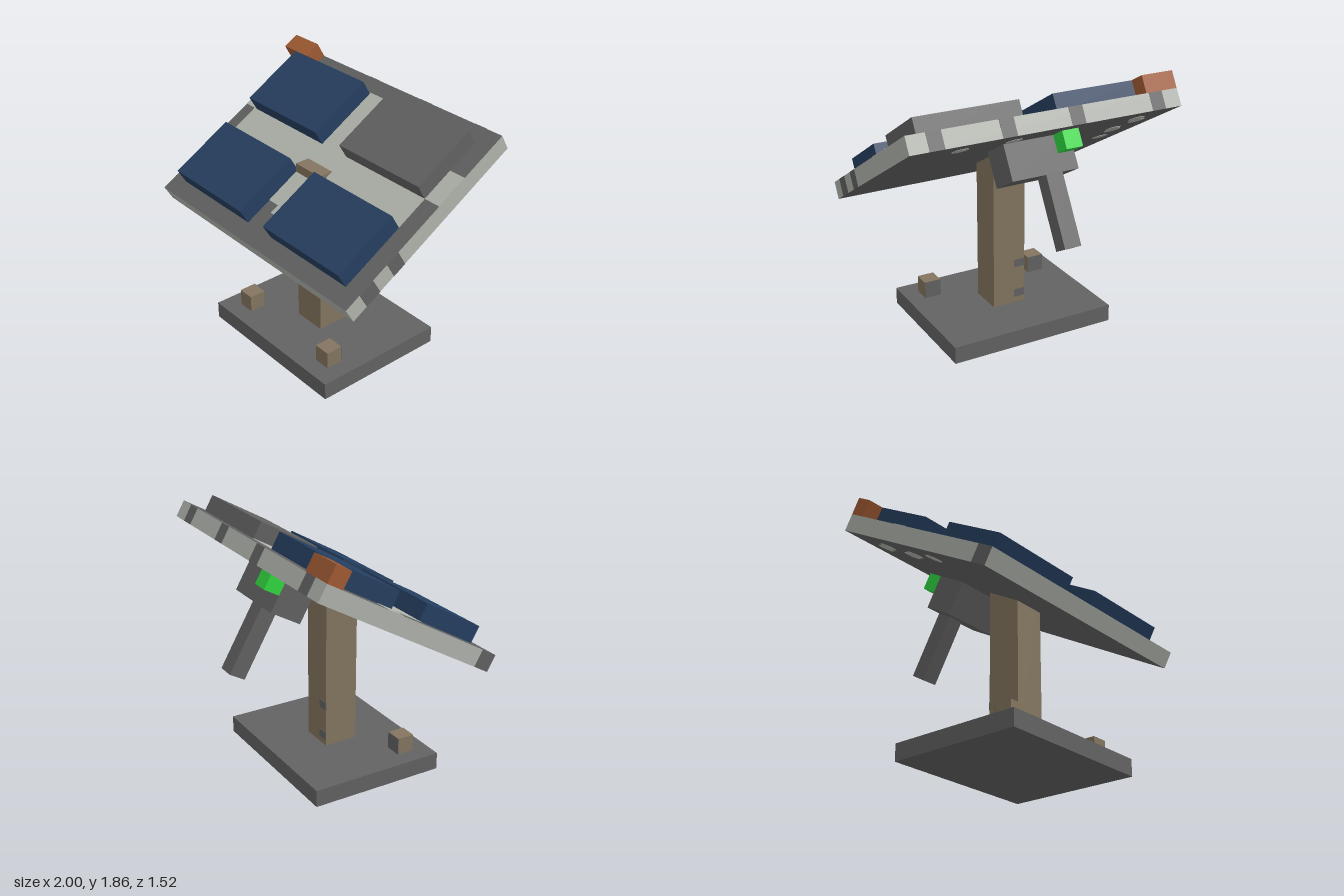
import * as THREE from 'three';

const paint = (name, color) => {
  const m = new THREE.MeshStandardMaterial({ color });
  m.name = name;
  return m;
};

export function createModel() {
  const grey = paint('dark grey metal', 0x626262);
  const light = paint('light grey metal', 0xb0b4ac);
  const blue = paint('solar blue', 0x263f60);
  const wood = paint('brown post', 0x83755f);
  const rust = paint('rust orange', 0xa05a33);
  const green = paint('signal green', 0x30d840);

  // Box given by its lower and upper limits on each axis
  const box = (parent, name, mat, [x0, x1], [y0, y1], [z0, z1]) => {
    const mesh = new THREE.Mesh(new THREE.BoxGeometry(x1 - x0, y1 - y0, z1 - z0), mat);
    mesh.position.set((x0 + x1) / 2, (y0 + y1) / 2, (z0 + z1) / 2);
    mesh.name = name;
    parent.add(mesh);
    return mesh;
  };

  const model = new THREE.Group();
  model.name = 'solarPanelStand';

  // Base, post and the two pegs at the front
  box(model, 'base', grey, [-0.625, 0.625], [0, 0.125], [-0.3875, 0.6125]);
  box(model, 'post', wood, [-0.125, 0.125], [0.125, 1.375], [-0.0125, 0.2375]);
  for (const y of [0.2, 0.44]) {
    box(model, 'postStain', grey, [-0.125, -0.04], [y - 0.03, y + 0.03], [-0.016, -0.01]);
  }
  for (const x of [-0.4375, 0.4375]) {
    const span = [x - 0.0625, x + 0.0625];
    box(model, 'peg', wood, span, [0.125, 0.25], [0.3625, 0.4875]);
    box(model, 'pegBackPlate', grey, span, [0.125, 0.25], [0.359, 0.364]);
  }

  // Tilted head: everything below is laid out flat, then turned 30 degrees
  const head = new THREE.Group();
  head.name = 'tiltedHead';
  head.position.set(0, 1.327, 0.08);
  head.rotation.x = Math.PI / 6;
  model.add(head);

  // Board with light edges and dark faces
  const top = 0.0625;
  box(head, 'board', [light, light, grey, grey, light, light], [-1, 1], [-top, top], [-0.75, 0.75]);

  // Light markings on the upper face
  const onTop = [top - 0.002, top + 0.003];
  box(head, 'crossStrip', light, [-0.9, 0.875], onTop, [-0.125, 0.125]);
  box(head, 'longStripBack', light, [-0.125, 0.125], onTop, [-0.635, -0.125]);
  box(head, 'longStripFront', light, [-0.125, 0.125], onTop, [0.125, 0.415]);
  box(head, 'longStripTip', light, [-0.03, 0.125], onTop, [0.415, 0.485]);
  box(head, 'leftPatch', light, [0.875, 1], onTop, [-0.375, -0.125]);
  box(head, 'rightPatch', light, [-1, -0.875], onTop, [-0.25, -0.125]);

  // Dark patches along the edges
  for (const [z0, z1] of [[0.5, 0.625], [0.265, 0.37]]) {
    box(head, 'leftEdgePatch', grey, [0.998, 1.002], [-top, top], [z0, z1]);
  }
  box(head, 'rightEdgePatch', grey, [-1.002, -0.998], [-top, top], [0.625, 0.75]);
  for (const x of [-0.82, -0.19, 0.315, 0.815]) {
    box(head, 'backEdgePatch', grey, [x - 0.052, x + 0.052], [-top, top], [-0.752, -0.748]);
  }

  // Light spots on the underside
  const under = [[0.59, -0.57], [0.2, -0.56], [-0.76, -0.55], [-0.82, -0.45], [-0.74, -0.27], [-0.78, -0.19], [-0.82, 0.055]];
  for (const [x, z] of under) {
    const spot = new THREE.Mesh(new THREE.CylinderGeometry(0.06, 0.06, 0.006, 8), light);
    spot.name = 'undersideSpot';
    spot.position.set(x, -top, z);
    head.add(spot);
  }

  // Four raised cells, one of them bare
  for (const x of [-0.5, 0.5]) {
    for (const z of [-0.375, 0.375]) {
      const bare = x > 0 && z < 0;
      box(head, bare ? 'bareCell' : 'solarCell', bare ? grey : blue,
        [x - 0.375, x + 0.375], [top, 0.1875], [z - 0.25, z + 0.25]);
    }
  }

  // Block on the back corner, and the gear underneath
  box(head, 'cornerBlock', rust, [-1, -0.75], [top, 0.1875], [-0.75, -0.625]);
  box(head, 'motorBox', grey, [-0.25, 0.25], [-0.3125, -top], [-0.5, -0.25]);
  box(head, 'lever', grey, [-0.125, 0], [-0.8125, -0.3125], [-0.5, -0.375]);
  box(head, 'signalLight', green, [-0.25, -0.125], [-0.1875, -top], [-0.625, -0.5]);

  return model;
}
